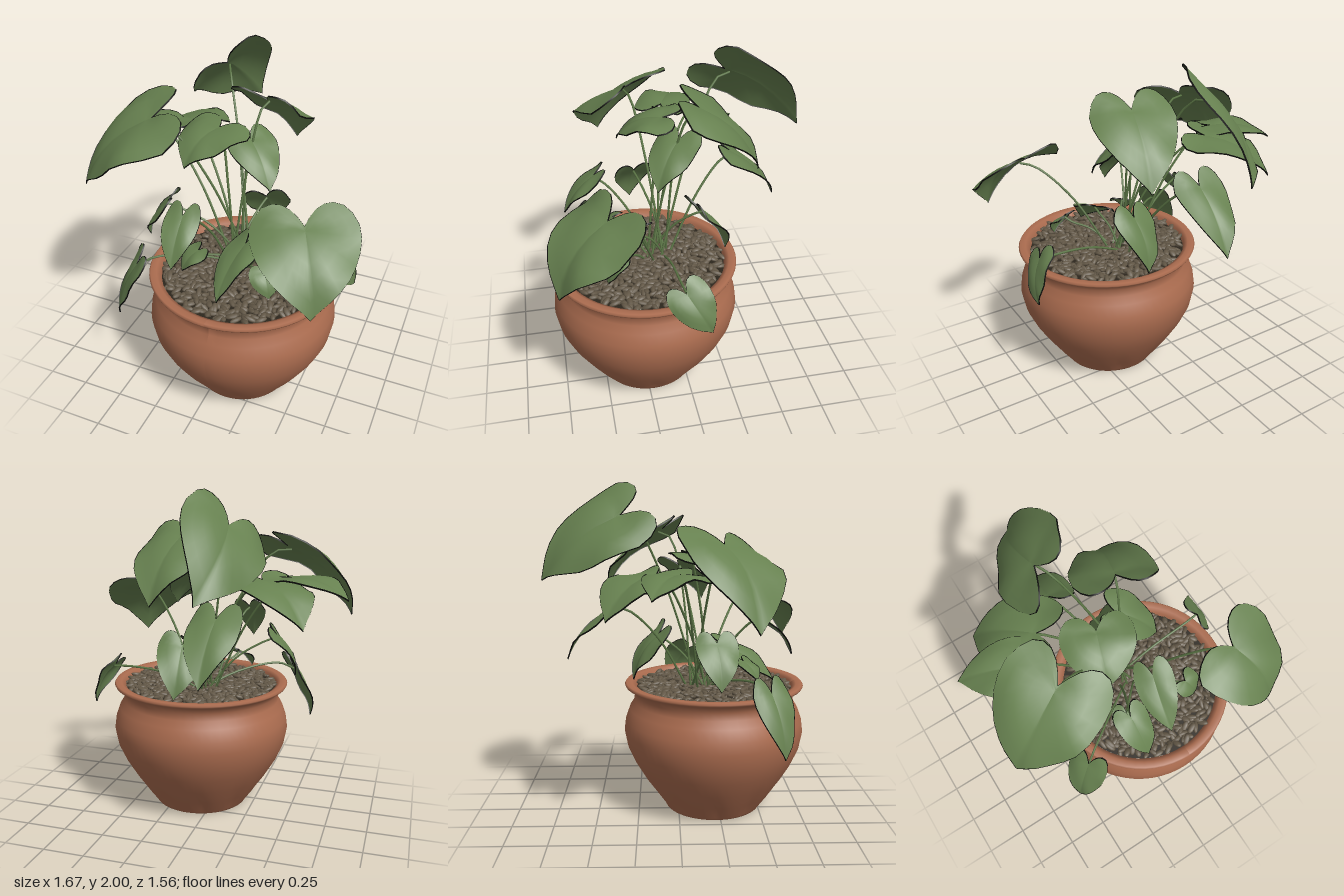
import * as THREE from 'three';
import { mergeGeometries } from 'three/addons/utils/BufferGeometryUtils.js';

const mat = (name, color, side = THREE.FrontSide) => {
  const m = new THREE.MeshStandardMaterial({ color, side });
  m.name = name;
  return m;
};
const V = (a) => new THREE.Vector3(...a);
const POT = [0.11, 0, 0.22];
const UP = new THREE.Vector3(0, 1, 0);

// small seeded generator
let seed = 7;
const rnd = () => (seed = (seed * 16807) % 2147483647) / 2147483647;

// half of the heart outline: [along the midrib, sideways]
const HALF = [[0, 0], [-0.17, 0.2], [-0.26, 0.48], [-0.2, 0.8], [0.02, 1], [0.3, 0.96],
  [0.55, 0.76], [0.78, 0.42], [0.92, 0.14], [1, 0]];

// each leaf: notch where the stem joins, tip, half width, roll about the midrib
const LEAVES = [
  [[-0.22, 1.82, -0.33], [-0.17, 1.46, -0.78], 0.26, 0.85],
  [[0.12, 1.74, -0.1], [0.2, 1.38, -0.43], 0.23],
  [[-0.16, 1.32, -0.36], [-0.15, 1.0, -0.65], 0.15],
  [[-0.36, 1.51, -0.13], [-0.64, 1.29, -0.39], 0.23],
  [[-0.5, 1.51, 0], [-0.84, 1.42, -0.15], 0.17],
  [[-0.43, 1.67, 0.23], [-0.81, 1.25, 0.38], 0.29, 0.22],
  [[-0.1, 1.6, 0.06], [-0.2, 1.45, 0.32], 0.2],
  [[0.06, 1.53, 0], [0.24, 1.31, 0.15], 0.14],
  [[0.54, 1.35, 0.46], [0.68, 1.0, 0.74], 0.28],
  [[-0.14, 1.25, 0.47], [-0.13, 1.02, 0.66], 0.1],
  [[0.15, 1.02, 0.28], [0.1, 0.81, 0.59], 0.12, -0.35],
  [[0.31, 0.95, 0.4], [0.36, 0.82, 0.46], 0.09, -0.2],
  [[0.64, 0.9, 0.07], [0.72, 0.68, -0.06], 0.12, -0.9],
  [[-0.44, 0.86, 0.5], [-0.55, 0.51, 0.57], 0.12],
  [[0.12, 1.1, -0.12], [0.12, 0.81, -0.28], 0.14, 0.3],
  [[-0.38, 1.13, 0.2], [-0.5, 0.88, 0.22], 0.12],
  [[-0.1, 0.97, 0.38], [-0.17, 0.86, 0.46], 0.08],
];

// leaf blade: rings from the notch out to the heart outline, with a thin strip as its margin
function leafGeometries([notch, tip, half, roll = 0], index) {
  const base = V(notch), along = V(tip).sub(base);
  const side = along.clone().cross(UP).normalize()
    .applyAxisAngle(along.clone().normalize(), -roll);
  const normal = side.clone().cross(along).normalize();
  const curve = new THREE.CatmullRomCurve3(HALF.map(([a, s]) => new THREE.Vector3(a, s, 0)));
  const right = curve.getPoints(16);
  const left = right.slice(1, -1).reverse().map((p) => new THREE.Vector3(p.x, -p.y, 0));
  const outline = [...right, ...left];
  const n = outline.length, rings = 5;
  const ring = (f, raise) => outline.flatMap((p) => {
    const a = 0.06 + (p.x - 0.06) * f, s = p.y * f;
    // arched midrib, drooping sides and a wavy margin
    const lift = a * (1 - a) * (a < 0 ? 0.5 : 1) - 0.28 * s * s + 0.18 * Math.abs(s)
      + 0.1 * Math.sin(a * 6 + s * 3 + index) * s * f;
    return base.clone().addScaledVector(along, a).addScaledVector(side, s * half)
      .addScaledVector(normal, lift * half + raise).toArray();
  });
  const loft = (loops) => {
    const idx = [];
    for (let k = 0; k < loops.length - 1; k++) {
      for (let i = 0; i < n; i++) {
        const p = k * n + i, q = k * n + ((i + 1) % n);
        idx.push(p, p + n, q + n, p, q + n, q);
      }
    }
    const g = new THREE.BufferGeometry();
    g.setAttribute('position', new THREE.Float32BufferAttribute(loops.flat(), 3));
    g.setIndex(idx);
    g.computeVertexNormals();
    return g;
  };
  const blade = loft(Array.from({ length: rings + 1 }, (_, k) => ring(Math.max(k / rings, 0.002), 0)));
  return [blade, loft([ring(1.003, 0.004), ring(1.003, -0.005)])];
}

// stem: rises from the middle of the pot and bends over to the leaf
function stemGeometry([notch, tip], index) {
  const end = V(notch), ang = index * 2.4;
  const start = new THREE.Vector3(0.06 + 0.06 * Math.cos(ang), 0.74, 0.13 + 0.06 * Math.sin(ang));
  const mid = start.clone().lerp(end, 0.45);
  mid.y = start.y + Math.max(0.12, (end.y - start.y) * 0.62);
  const near = start.clone().lerp(end, 0.85);
  near.y = Math.max(end.y - 0.04, start.y + 0.15);
  const curve = new THREE.CatmullRomCurve3([start, mid, near, end.lerp(V(tip), 0.06)]);
  return new THREE.TubeGeometry(curve, 14, 0.007, 6);
}

export function createModel() {
  const model = new THREE.Group();
  const clay = mat('terracotta', 0xab6c4f);
  const soilMat = mat('dark soil', 0x2c261d);
  const stoneMat = mat('brown pebble', 0x625746);
  const leafMat = mat('leaf green', 0x678150, THREE.DoubleSide);
  const edgeMat = mat('leaf margin black', 0x0c0d0a, THREE.DoubleSide);
  const stemMat = mat('stem green', 0x5b7545);
  const add = (name, geo, material, parent = model) => {
    const m = new THREE.Mesh(geo, material);
    m.name = name;
    parent.add(m);
    return m;
  };

  // round pot with a flared rim and shallow flutes near the foot
  const profile = [[0, 0], [0.298, 0], [0.305, 0.01], [0.37, 0.1], [0.435, 0.2], [0.495, 0.3],
    [0.54, 0.4], [0.559, 0.5], [0.55, 0.57], [0.525, 0.64], [0.497, 0.685], [0.492, 0.73],
    [0.515, 0.765], [0.548, 0.782], [0.553, 0.793], [0.545, 0.804], [0.51, 0.803],
    [0.485, 0.79], [0.475, 0.73]].map(([x, y]) => new THREE.Vector2(x, y));
  const potGeo = new THREE.LatheGeometry(profile, 60);
  const p = potGeo.attributes.position;
  for (let i = 0; i < p.count; i++) {
    const x = p.getX(i), y = p.getY(i), z = p.getZ(i);
    if (y > 0.005 && y < 0.15) {
      const k = 1 - 0.03 * Math.pow(Math.abs(Math.cos(Math.atan2(z, x) * 5)), 6);
      p.setX(i, x * k);
      p.setZ(i, z * k);
    }
  }
  potGeo.computeVertexNormals();
  add('pot', potGeo, clay).position.set(...POT);

  // soil with a bed of pointed pebbles
  const soil = add('soil', new THREE.CircleGeometry(0.48, 48), soilMat);
  soil.rotation.x = -Math.PI / 2;
  soil.position.set(POT[0], 0.765, POT[2]);
  const stones = [], count = 620;
  for (let i = 0; i < count; i++) {
    const r = 0.465 * Math.sqrt((i + 0.5) / count), a = i * 2.39996 + rnd() * 0.1;
    const g = new THREE.IcosahedronGeometry(1, 1);
    g.scale(0.03 + rnd() * 0.012, 0.013, 0.014 + rnd() * 0.006);
    g.rotateZ((rnd() - 0.5) * 0.9);
    g.rotateY(rnd() * Math.PI * 2);
    g.translate(POT[0] + r * Math.cos(a), 0.772 + rnd() * 0.018, POT[2] + r * Math.sin(a));
    stones.push(g);
  }
  add('pebbles', mergeGeometries(stones), stoneMat);

  // leaves on their stems
  LEAVES.forEach((leaf, i) => {
    const g = new THREE.Group();
    g.name = 'leafAndStem' + (i + 1);
    const [blade, margin] = leafGeometries(leaf, i);
    add('leafBlade', blade, leafMat, g);
    add('leafMargin', margin, edgeMat, g);
    add('stem', stemGeometry(leaf, i), stemMat, g);
    model.add(g);
  });
  return model;
}
